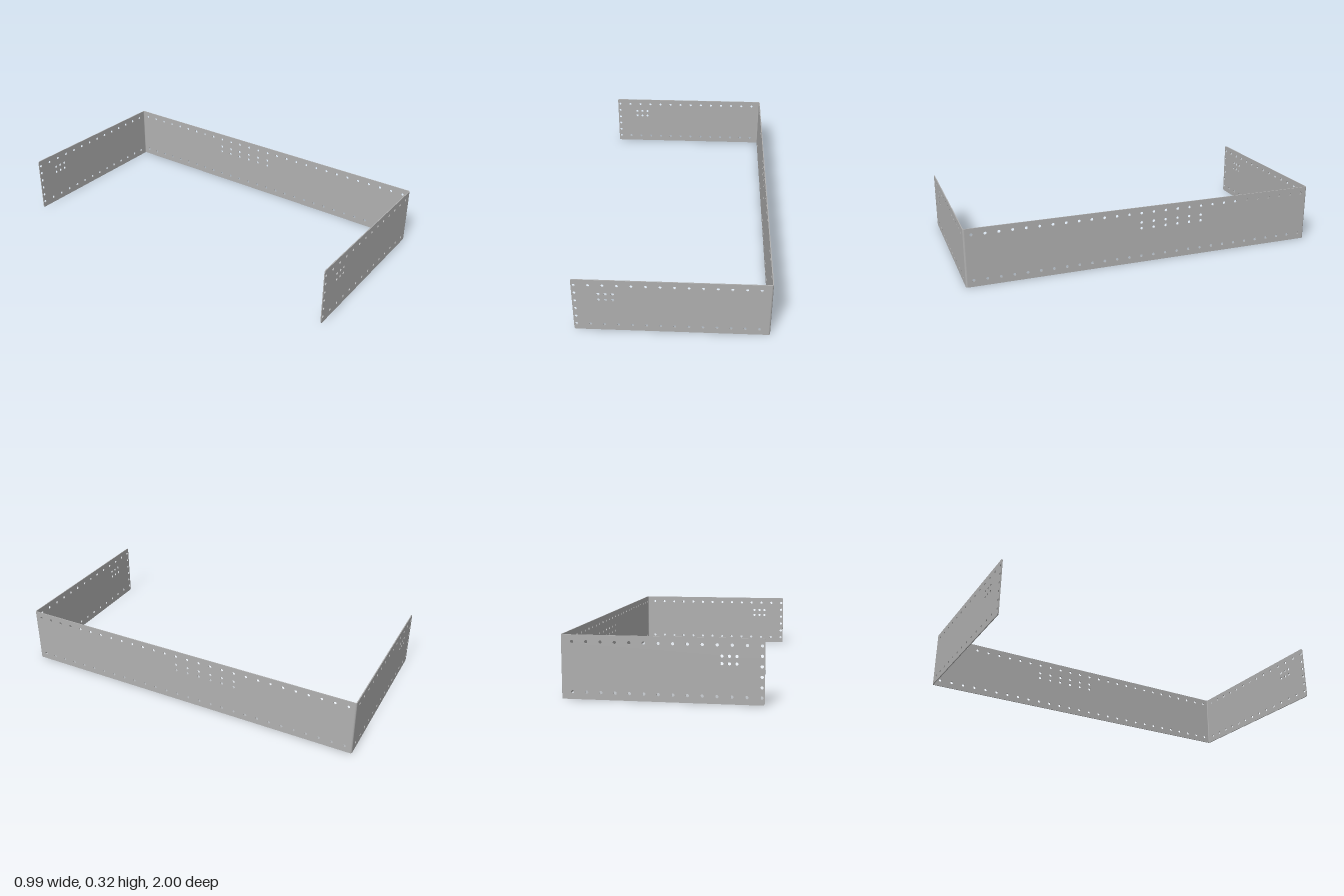
import * as THREE from 'three';

const H = 0.318;          // plate height
const T = 0.005;          // sheet thickness
const R = 0.01;           // outer bend radius
const X = 0.495, Z = 1;   // outer half extents
const HOLE = 0.008;       // hole radius
const LOW = 0.036, HIGH = 0.284;   // edge hole rows

// Flat sheet from u0 to u1 with holes; c rounds the corners at the u0 end
function sheet(u0, u1, c, holes) {
  const s = new THREE.Shape();
  s.moveTo(u1, 0);
  s.lineTo(u1, H);
  s.lineTo(u0 + c, H);
  if (c) s.quadraticCurveTo(u0, H, u0, H - c);
  s.lineTo(u0, c);
  if (c) s.quadraticCurveTo(u0, 0, u0 + c, 0);
  s.closePath();
  for (const [u, v] of holes) {
    s.holes.push(new THREE.Path().absarc(u, v, HOLE, 0, Math.PI * 2, true));
  }
  return new THREE.ExtrudeGeometry(s, { depth: T, bevelEnabled: false, curveSegments: 8 });
}

// Grid of hole centres
function holeGrid(u, du, count, rows) {
  const out = [];
  for (let i = 0; i < count; i++) for (const v of rows) out.push([u + i * du, v]);
  return out;
}

export function createModel() {
  const group = new THREE.Group();
  const steel = new THREE.MeshStandardMaterial({ color: 0xb0b0b0 });
  steel.name = 'grey steel';
  const add = (geometry, name) => {
    const mesh = new THREE.Mesh(geometry, steel);
    mesh.name = name;
    group.add(mesh);
  };

  // Long side plate
  const sideHoles = [
    ...holeGrid(-0.9585, 0.071, 28, [LOW, HIGH]),
    ...holeGrid(-0.3195, 0.071, 6, [0.197, 0.231]),
  ];
  const side = sheet(-Z + R, Z - R, 0, sideHoles);
  side.rotateY(-Math.PI / 2).translate(X, 0, 0);
  add(side, 'sidePlate');

  // Two end flanges, with a column of holes at the free end
  const flangeHoles = [
    ...holeGrid(-0.481, 0.0708, 14, [LOW, HIGH]),
    ...holeGrid(-0.481, 0, 1, [0.085, 0.135, 0.185, 0.235]),
    ...holeGrid(-0.362, 0.0354, 3, [0.195, 0.231]),
  ];
  const flange = sheet(-X, X - R, 0.01, flangeHoles);
  add(flange.clone().translate(0, 0, Z - T), 'frontFlange');
  add(flange.clone().translate(0, 0, -Z), 'backFlange');

  // Rounded bends joining flanges to the side plate
  for (const [name, start, z] of [['frontBend', -Math.PI / 2, Z - R], ['backBend', 0, -Z + R]]) {
    const s = new THREE.Shape();
    s.absarc(0, 0, R, start, start + Math.PI / 2, false);
    s.absarc(0, 0, R - T, start + Math.PI / 2, start, true);
    s.closePath();
    const bend = new THREE.ExtrudeGeometry(s, { depth: H, bevelEnabled: false, curveSegments: 6 });
    bend.rotateX(-Math.PI / 2).translate(X - R, 0, z);
    add(bend, name);
  }
  return group;
}
